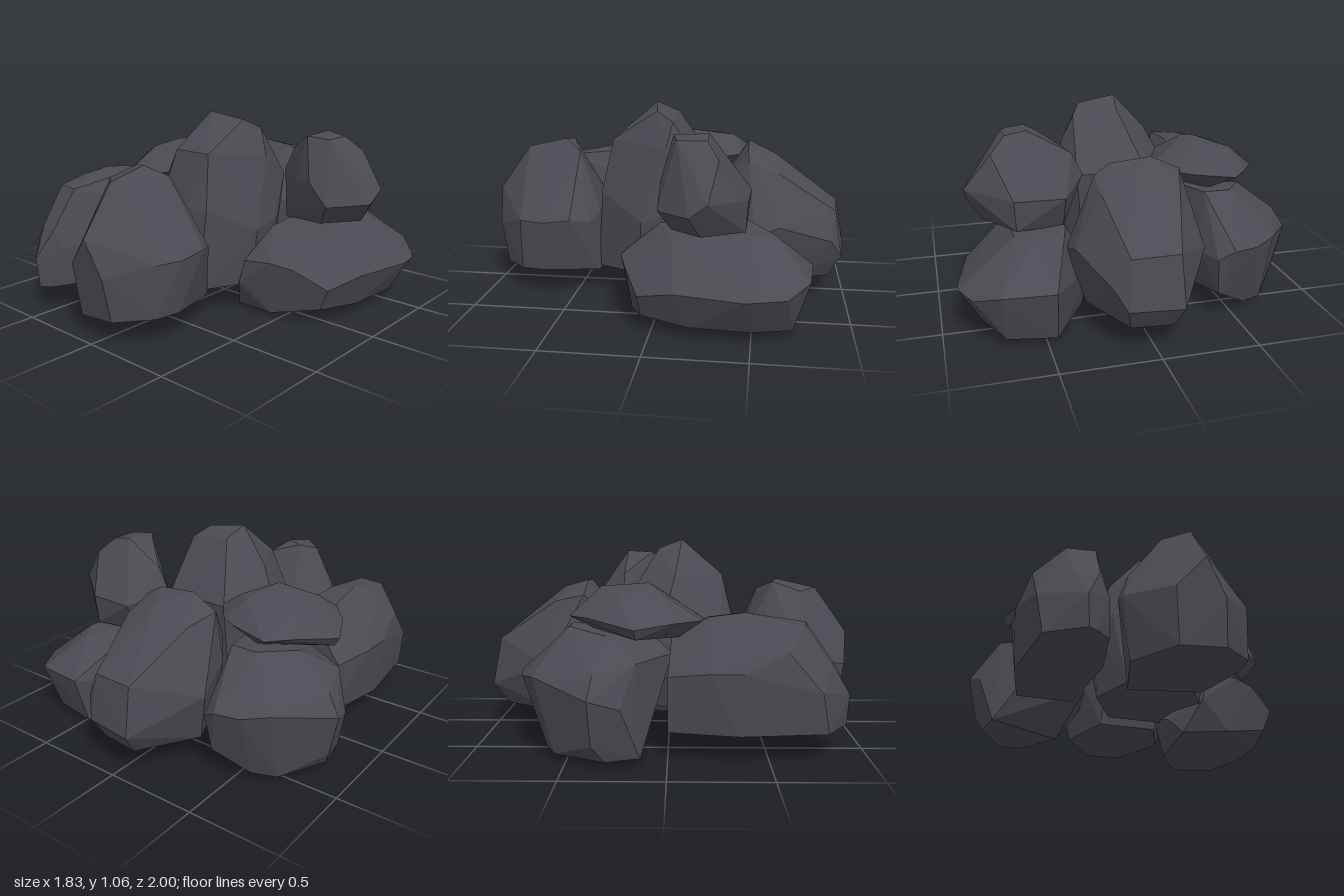
import * as THREE from 'three';
import { ConvexGeometry } from 'three/addons/geometries/ConvexGeometry.js';

const stone = new THREE.MeshStandardMaterial({ color: 0x4b4a52, flatShading: true });

// A faceted boulder: the hull around a crown, a girdle and a base of corner points.
function boulder(name, crown, girdle, base) {
  const points = [...crown, ...girdle, ...base].map((p) => new THREE.Vector3(...p));
  const mesh = new THREE.Mesh(new ConvexGeometry(points), stone);
  mesh.name = name;
  return mesh;
}

export function createModel() {
  const group = new THREE.Group();
  group.name = 'rockPile';

  group.add(boulder('frontRock',
    [[-.1, .83, .57], [-.02, .84, .6], [.06, .78, .5], [-.02, .79, .82], [-.14, .78, .72]],
    [[-.29, .58, .65], [-.34, .44, .65], [-.34, .42, .73], [-.16, .38, .97], [-.02, .54, 1], [.08, .35, .98],
      [.27, .42, .8], [.31, .42, .66], [.31, .44, .51], [.25, .42, .41], [.15, .46, .37], [-.18, .46, .38], [-.27, .45, .47]],
    [[-.29, .1, .7], [-.14, .1, .94], [.09, .12, .94], [.26, .14, .8], [.28, .14, .66], [.2, .13, .37], [-.2, .1, .36]]));

  group.add(boulder('centreRock',
    [[-.04, 1.06, .07], [.17, 1.03, .04], [.22, .98, -.05], [-.02, 1.01, -.06], [-.09, .87, .29], [.14, .87, .29], [-.21, .87, .03]],
    [[-.27, .75, 0], [.28, .84, -.02], [-.14, .7, -.25], [.24, .7, -.24], [.32, .5, -.08], [.33, .45, .11],
      [.18, .58, .35], [.06, .58, .37], [-.15, .58, .36], [-.26, .55, .28], [-.32, .5, .13], [-.3, .5, -.1]],
    [[-.2, .14, .36], [.15, .14, .38], [.3, .15, .12], [.2, .15, -.2], [-.14, .15, -.2], [-.29, .14, .1]]));

  group.add(boulder('frontLongRock',
    [[-.58, .72, .38], [-.45, .7, .35], [-.59, .7, .21], [-.43, .68, .21], [-.66, .68, .5], [-.61, .66, .68],
      [-.47, .66, .7], [-.55, .62, .02]],
    [[-.6, .46, .82], [-.48, .46, .84], [-.55, .3, .92], [-.75, .55, .58], [-.79, .45, .37], [-.78, .45, .2],
      [-.71, .42, 0], [-.75, .35, .75], [-.39, .59, .45], [-.34, .45, .46], [-.35, .45, .19], [-.43, .35, .82]],
    [[-.54, .14, .91], [-.49, .14, .88], [-.72, .14, .79], [-.42, .15, .8], [-.36, .15, .48], [-.77, .14, .35],
      [-.7, .14, 0], [-.4, .14, 0]]));

  group.add(boulder('backRock',
    [[-.25, .77, -.46], [-.1, .84, -.45], [.12, .82, -.45], [.2, .77, -.46], [.03, .79, -.6], [-.2, .73, -.62], [.2, .71, -.62]],
    [[-.1, .51, -.95], [.14, .5, -.93], [-.11, .25, -1], [.16, .25, -.97], [.22, .35, -.91], [.34, .45, -.63],
      [.36, .4, -.5], [.24, .5, -.34], [.11, .55, -.25], [-.13, .55, -.25], [-.27, .5, -.43], [-.33, .4, -.66]],
    [[-.08, .13, -.92], [.13, .13, -.9], [.28, .14, -.6], [.18, .15, -.33], [-.15, .15, -.33], [-.27, .13, -.62]]));

  group.add(boulder('lowerLeftRock',
    [[.62, .49, -.5], [.35, .5, -.45], [.35, .46, 0], [.62, .46, -.1], [.55, .48, -.6]],
    [[.91, .26, -.55], [.91, .25, -.47], [.84, .25, -.13], [.6, .3, .15], [.48, .32, .19], [.31, .3, .19], [.28, .17, .2],
      [.76, .2, .06], [.85, .25, -.67], [.73, .3, -.78], [.46, .3, -.8], [.35, .25, -.6], [.17, .2, -.3], [.15, .1, 0]],
    [[.2, 0, .1], [.45, .02, .14], [.71, .08, .05], [.78, .06, -.2], [.8, .06, -.5], [.7, .04, -.7], [.45, .03, -.73], [.25, 0, -.35]]));

  group.add(boulder('upperLeftRock',
    [[.44, .94, -.15], [.51, .97, -.27], [.62, .95, -.27], [.62, .95, -.12], [.5, .96, -.09], [.7, .87, -.33]],
    [[.84, .69, -.29], [.83, .62, -.2], [.67, .61, -.03], [.56, .73, -.03], [.43, .72, -.09], [.22, .72, -.28],
      [.28, .84, -.28], [.35, .66, -.48], [.61, .66, -.47]],
    [[.75, .51, -.25], [.6, .5, -.46], [.35, .49, -.4], [.33, .48, -.15], [.6, .5, -.09]]));

  group.add(boulder('lowerRightRock',
    [[-.52, .64, -.5], [-.38, .64, -.5], [-.65, .61, -.3], [-.33, .62, -.3], [-.33, .58, -.1], [-.5, .5, .02]],
    [[-.92, .35, -.37], [-.88, .3, -.22], [-.85, .46, -.35], [-.79, .5, -.15], [-.71, .42, -.66], [-.59, .4, -.73],
      [-.46, .4, -.76], [-.38, .35, -.73], [-.33, .35, -.6], [-.29, .2, -.3], [-.31, .25, -.1], [-.87, .12, -.36]],
    [[-.83, .03, -.3], [-.7, .03, -.56], [-.58, .04, -.62], [-.4, .15, -.7], [-.42, .02, -.3], [-.8, .04, -.13]]));

  group.add(boulder('upperRightRock',
    [[-.46, .84, -.09], [-.39, .85, -.1], [-.57, .79, 0], [-.62, .8, -.25], [-.36, .83, -.35], [-.25, .8, -.25]],
    [[-.56, .7, -.49], [-.34, .72, -.45], [-.26, .73, -.41], [-.14, .72, -.25], [-.25, .7, .11], [-.44, .66, .2],
      [-.59, .68, .17], [-.71, .68, .02], [-.79, .66, -.16], [-.65, .7, -.39]],
    [[-.76, .61, -.15], [-.6, .6, .05], [-.4, .6, 0], [-.25, .64, -.2], [-.45, .62, -.38]]));

  return group;
}
